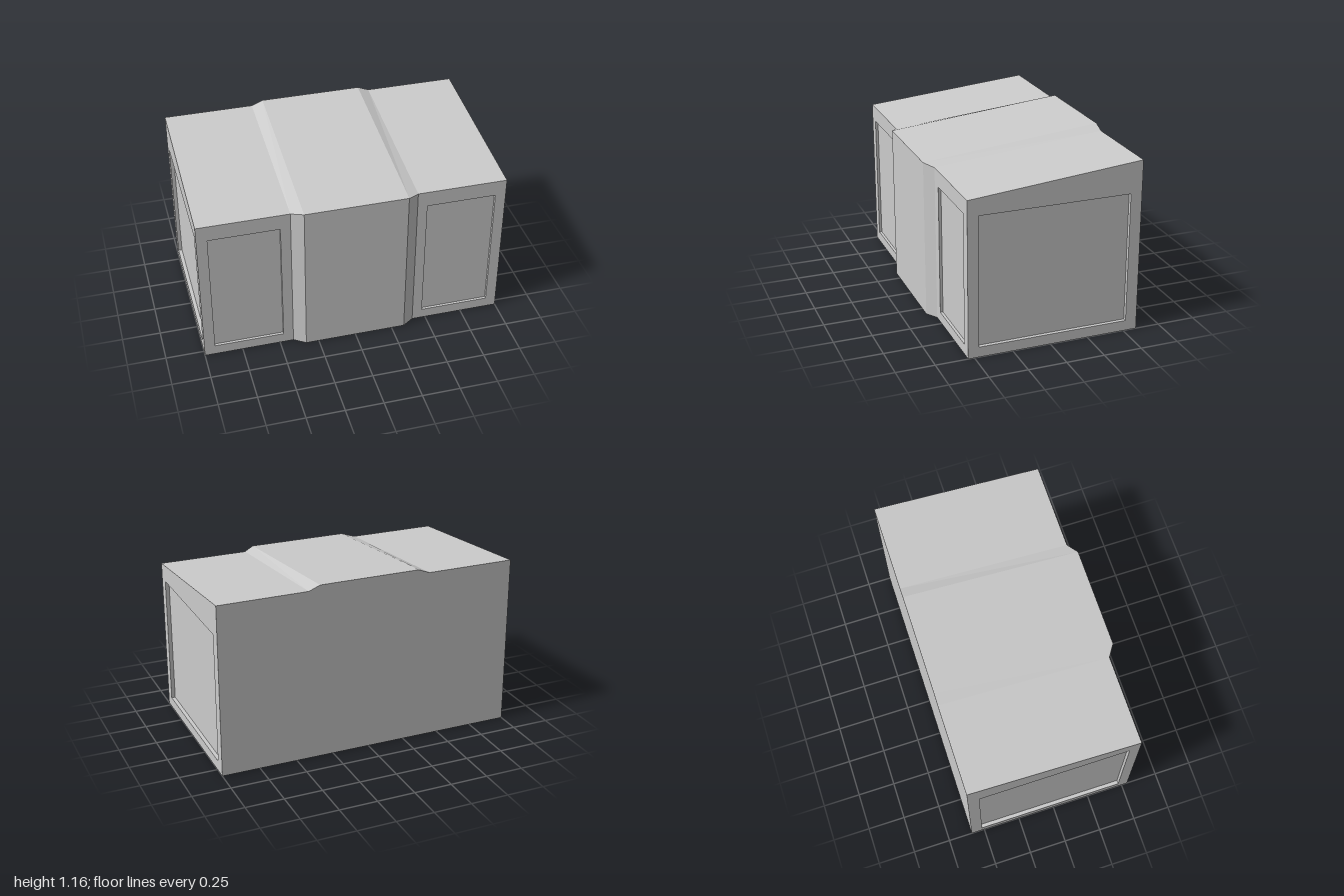
import * as THREE from 'three';

const material = new THREE.MeshStandardMaterial({ color: 0xcccccc, flatShading: true });

// Flat quads, each four corners counter-clockwise seen from outside
function quadMesh(name, quads) {
  const positions = [];
  for (const [a, b, c, d] of quads) positions.push(...a, ...b, ...c, ...a, ...c, ...d);
  const geometry = new THREE.BufferGeometry();
  geometry.setAttribute('position', new THREE.Float32BufferAttribute(positions, 3));
  geometry.computeVertexNormals();
  const mesh = new THREE.Mesh(geometry, material);
  mesh.name = name;
  return mesh;
}

// Wall in the xy plane facing +z, with a rectangular panel sunk into it
function recessedWall(name, outline, [u0, u1, v0, v1], depth) {
  const wall = new THREE.Group();
  wall.name = name;
  const corners = [[u0, v0], [u1, v0], [u1, v1], [u0, v1]];
  const toVectors = (points) => points.map(([u, v]) => new THREE.Vector2(u, v));

  const shape = new THREE.Shape(toVectors(outline));
  shape.holes.push(new THREE.Path(toVectors(corners)));
  const frame = new THREE.Mesh(new THREE.ShapeGeometry(shape), material);
  frame.name = 'frame';

  const reveals = corners.map((a, i) => {
    const b = corners[(i + 1) % 4];
    return [[...a, 0], [...b, 0], [...b, -depth], [...a, -depth]];
  });
  wall.add(
    frame,
    quadMesh('panelReveal', reveals),
    quadMesh('sunkenPanel', [corners.map((c) => [...c, -depth])])
  );
  return wall;
}

export function createModel() {
  const model = new THREE.Group();
  model.name = 'panelledBlock';

  const back = -0.59;
  const wing = { front: 0.54, yFront: 1.03, yBack: 1.135 };
  const centre = { front: 0.59, yFront: 1.045, yBack: 1.165 };

  // Cross-sections from right to left: wing, raised centre, wing
  const stations = [
    [-1, wing], [-0.41, wing], [-0.335, centre],
    [0.335, centre], [0.41, wing], [1, wing],
  ].map(([x, s]) => ({
    backLow: [x, 0, back],
    backHigh: [x, s.yBack, back],
    frontLow: [x, 0, s.front],
    frontHigh: [x, s.yFront, s.front],
  }));

  const roof = [], base = [], backWall = [], frontBay = [];
  for (let i = 0; i < stations.length - 1; i++) {
    const a = stations[i], b = stations[i + 1];
    roof.push([a.frontHigh, b.frontHigh, b.backHigh, a.backHigh]);
    base.push([a.backLow, b.backLow, b.frontLow, a.frontLow]);
    backWall.push([b.backLow, a.backLow, a.backHigh, b.backHigh]);
    if (i > 0 && i < 4) frontBay.push([a.frontLow, b.frontLow, b.frontHigh, a.frontHigh]);
  }
  model.add(
    quadMesh('slopedRoof', roof),
    quadMesh('base', base),
    quadMesh('backWall', backWall),
    quadMesh('frontBay', frontBay)
  );

  for (const side of [-1, 1]) {
    const label = side > 0 ? 'left' : 'right';

    // Front wing wall beside the centre bay
    const mid = side * 0.705;
    const front = recessedWall(`${label}FrontWall`,
      [[-0.295, 0], [0.295, 0], [0.295, wing.yFront], [-0.295, wing.yFront]],
      side > 0 ? [-0.23, 0.225, 0.068, 0.925] : [-0.225, 0.23, 0.068, 0.925], 0.018);
    front.position.set(mid, 0, wing.front);

    // End wall following the roof slope; local u runs along -z or +z
    const u = (z) => -side * z;
    const span = [u(0.47), u(-0.515)].sort((p, q) => p - q);
    const end = recessedWall(`${label}EndWall`,
      [[u(wing.front), 0], [u(back), 0], [u(back), wing.yBack], [u(wing.front), wing.yFront]],
      [...span, 0.068, 0.925], 0.025);
    end.rotation.y = side * Math.PI / 2;
    end.position.x = side;

    model.add(front, end);
  }
  return model;
}
